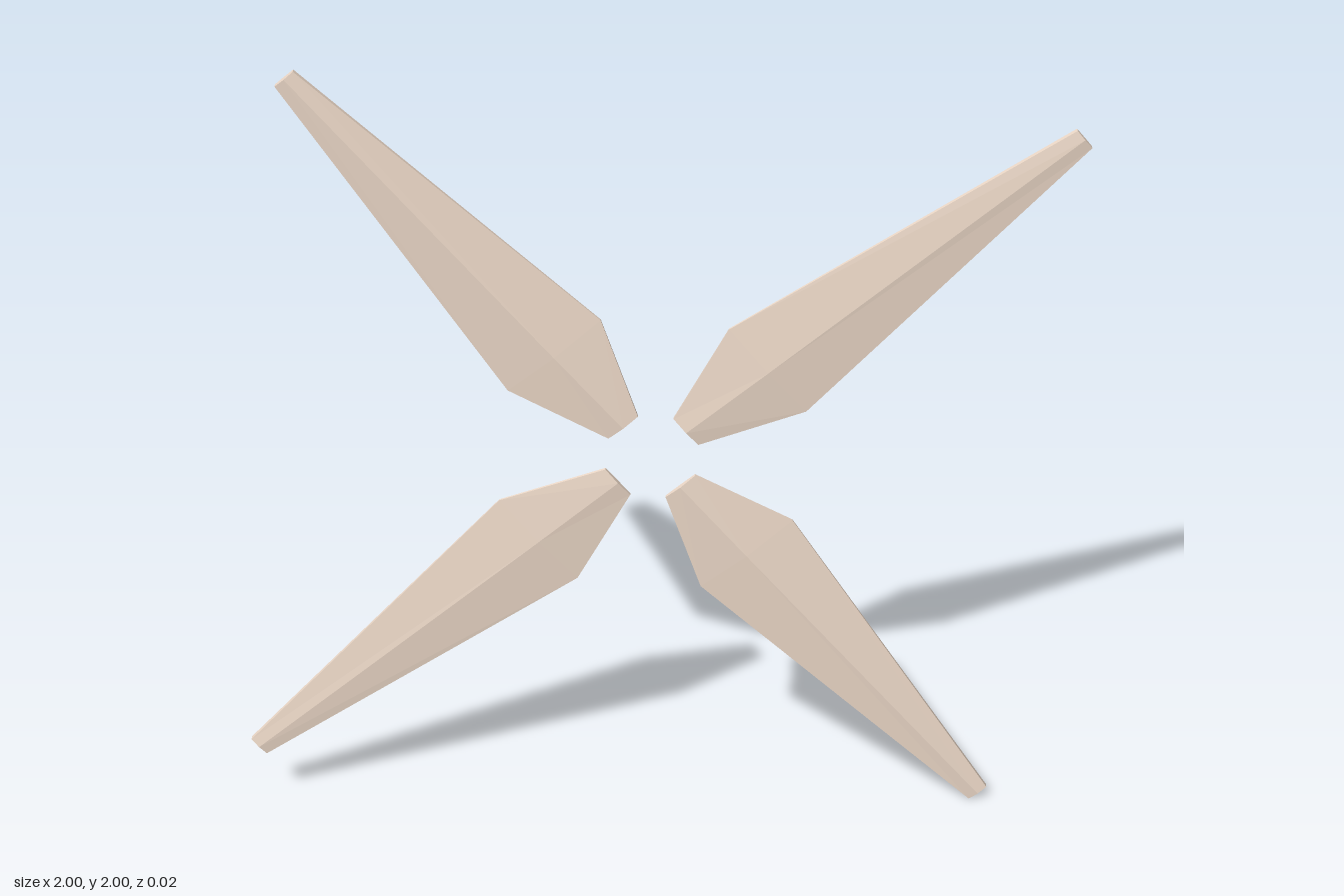
import * as THREE from 'three';

// Cross-sections along the blade: distance from hub, half width, front ridge, edge front, edge back, back ridge
const SECTIONS = [
  [0.106, 0.046, 0.006, 0.0, -0.008, -0.009],
  [0.357, 0.144, 0.009, -0.005, -0.01, -0.012],
  [1.282, 0.028, 0.007, 0.003, -0.01, -0.011],
];

function bladeGeometry() {
  const rings = SECTIONS.map(([d, w, ridge, front, back, spine]) => [
    [d, w, back], [d, w, front], [d, 0, ridge],
    [d, -w, front], [d, -w, back], [d, 0, spine],
  ]);
  const n = 6;
  const index = [];
  // side facets between neighbouring sections
  for (let i = 0; i < rings.length - 1; i++) {
    for (let j = 0; j < n; j++) {
      const a = i * n + j, d = i * n + (j + 1) % n;
      index.push(a, d, d + n, a, d + n, a + n);
    }
  }
  // root and tip caps
  const last = (rings.length - 1) * n;
  for (let j = 1; j < n - 1; j++) {
    index.push(0, j + 1, j);
    index.push(last, last + j, last + j + 1);
  }
  const geo = new THREE.BufferGeometry();
  geo.setAttribute('position', new THREE.Float32BufferAttribute(rings.flat(2), 3));
  geo.setIndex(index);
  const flat = geo.toNonIndexed();
  flat.computeVertexNormals();
  return flat;
}

export function createModel() {
  const group = new THREE.Group();
  group.name = 'fourBladeRotor';
  const material = new THREE.MeshStandardMaterial({ color: 0xf0dccb, flatShading: true });
  const geometry = bladeGeometry();

  // four identical blades a quarter turn apart
  for (let i = 0; i < 4; i++) {
    const blade = new THREE.Mesh(geometry, material);
    blade.name = `blade${i + 1}`;
    blade.position.y = 1;
    blade.rotation.z = THREE.MathUtils.degToRad(40 + i * 90);
    group.add(blade);
  }
  return group;
}
